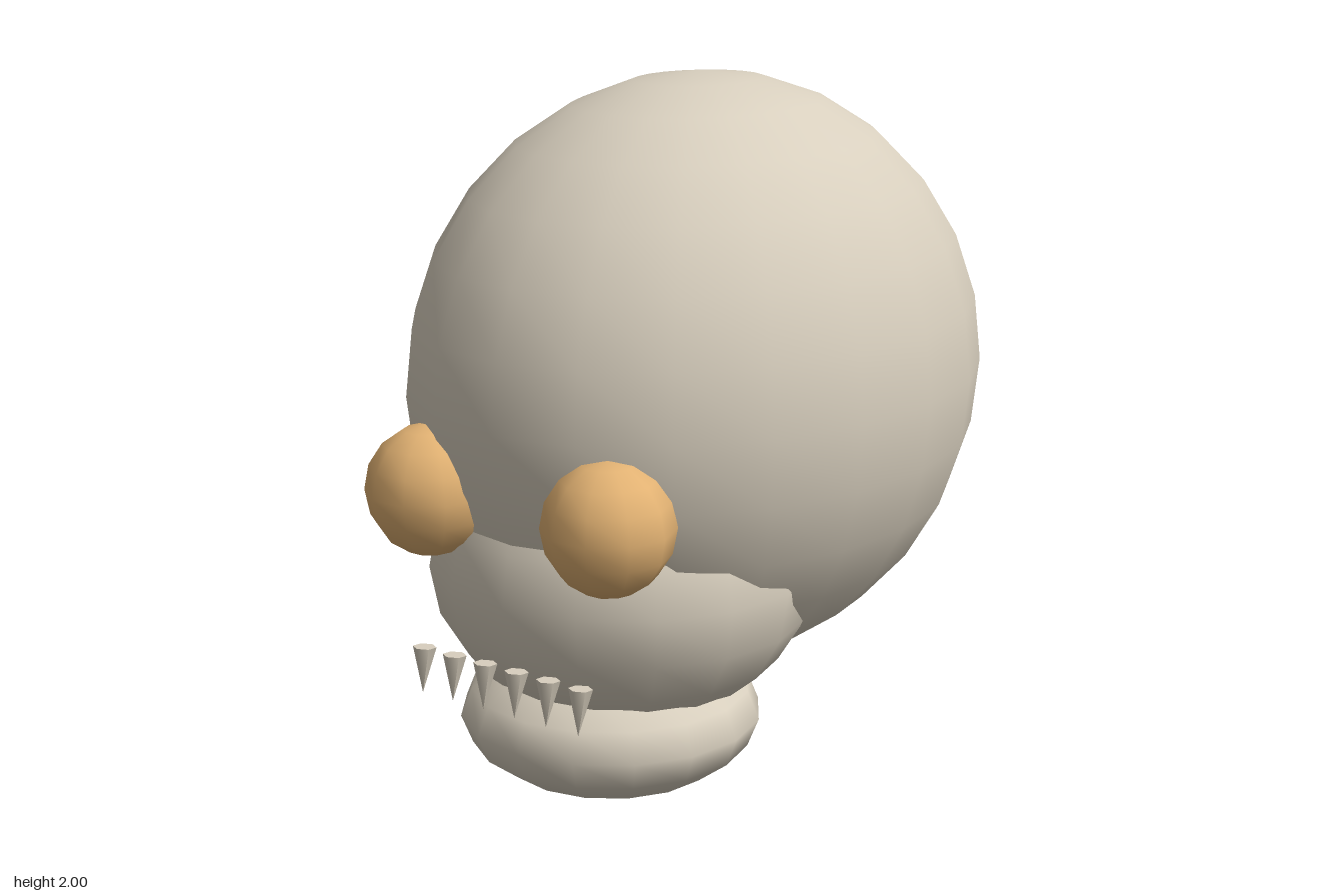
import * as THREE from 'three';

export function createModel() {
  const model = new THREE.Group();
  model.name = 'skull';
  const bone = new THREE.MeshStandardMaterial({ name: 'bone', color: 0xd8cfbe });
  const amber = new THREE.MeshStandardMaterial({ name: 'amber', color: 0xe2b273 });

  function add(name, geometry, material, x, y, z) {
    const mesh = new THREE.Mesh(geometry, material);
    mesh.name = name;
    mesh.position.set(x, y, z);
    model.add(mesh);
    return mesh;
  }

  function ellipsoid(rx, ry, rz, around, rings) {
    return new THREE.SphereGeometry(1, around, rings).scale(rx, ry, rz);
  }

  // Rounded braincase, upper jaw and lower jaw
  add('cranium', ellipsoid(0.775, 0.86, 0.945, 20, 14), bone, 0, 1.14, -0.035);
  add('upperJaw', ellipsoid(0.56, 0.46, 0.54, 16, 10), bone, 0, 0.655, 0.34);
  add('lowerJaw', ellipsoid(0.435, 0.215, 0.425, 16, 8), bone, 0, 0.22, 0.405);

  // Bulging eyes
  const eye = ellipsoid(0.18, 0.184, 0.18, 10, 8);
  for (const side of [-1, 1]) {
    add(side > 0 ? 'leftEye' : 'rightEye', eye, amber, side * 0.305, 0.921, 0.81);
  }

  // Row of downward fangs, tips leaning slightly forward
  const fang = new THREE.ConeGeometry(0.033, 0.13, 6);
  for (let i = 0; i < 6; i++) {
    const tooth = add('tooth' + (i + 1), fang, bone, (i - 2.5) * 0.108, 0.43, 0.898);
    tooth.rotation.x = Math.PI - 0.1;
  }

  return model;
}
